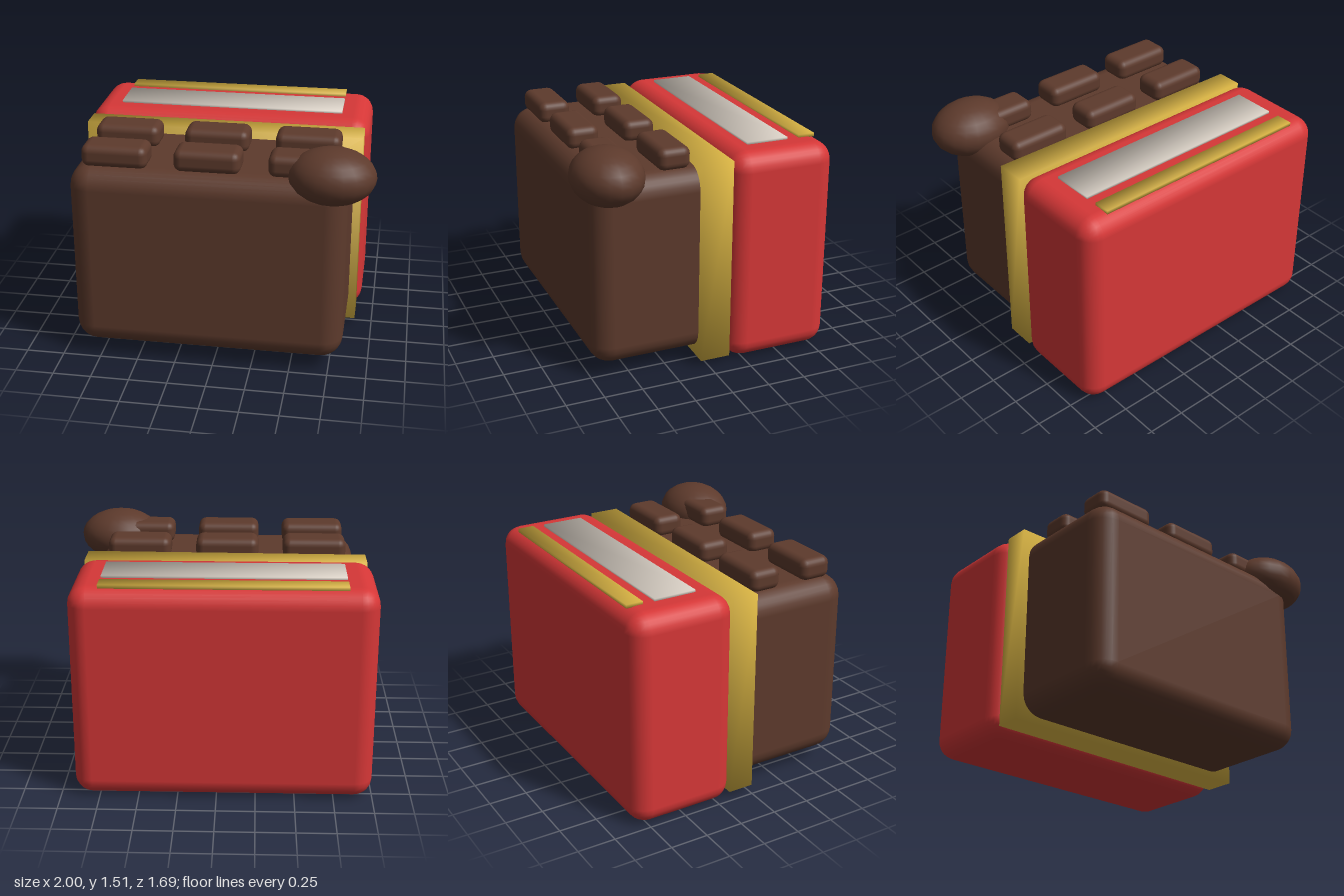
import * as THREE from 'three';
import { RoundedBoxGeometry } from 'three/addons/geometries/RoundedBoxGeometry.js';

const paint = (name, color) => {
  const m = new THREE.MeshStandardMaterial({ color });
  m.name = name;
  return m;
};

export function createModel() {
  const group = new THREE.Group();
  const red = paint('wrapper red', 0xd63737);
  const gold = paint('foil gold', 0xd8b343);
  const silver = paint('label silver', 0xdad1c6);
  const brown = paint('chocolate brown', 0x5d3a2c);

  const add = (name, geometry, material) => {
    const mesh = new THREE.Mesh(geometry, material);
    mesh.name = name;
    group.add(mesh);
    return mesh;
  };
  // Boxes are given by their limits on each axis
  const limits = ([x0, x1], [y0, y1], [z0, z1]) => ({
    size: [x1 - x0, y1 - y0, z1 - z0],
    mid: [(x0 + x1) / 2, (y0 + y1) / 2, (z0 + z1) / 2],
  });
  const rounded = (name, x, y, z, radius, material) => {
    const { size, mid } = limits(x, y, z);
    const mesh = add(name, new RoundedBoxGeometry(...size, 3, radius), material);
    mesh.position.set(...mid);
  };
  // Sharp box with soft shading: every corner normal points outward diagonally
  const softBox = (name, x, y, z, material) => {
    const { size, mid } = limits(x, y, z);
    const geo = new THREE.BoxGeometry(...size);
    const p = geo.attributes.position;
    for (let i = 0; i < p.count; i++) {
      const n = new THREE.Vector3().fromBufferAttribute(p, i);
      n.set(Math.sign(n.x), Math.sign(n.y), Math.sign(n.z)).normalize();
      geo.attributes.normal.setXYZ(i, n.x, n.y, n.z);
    }
    geo.translate(...mid);
    return add(name, geo, material);
  };

  // Wrapped half and bare half of the bar
  rounded('wrapper', [-1, 0.915], [0, 1.405], [-0.85, -0.145], 0.12, red);
  rounded('chocolateBar', [-0.92, 0.835], [0.085, 1.325], [-0.1, 0.75], 0.14, brown);

  // Foil collar, its front edge slightly skewed
  const foil = softBox('foilCollar', [-0.965, 0.885], [0.04, 1.375], [-0.15, 0.05], gold);
  const fp = foil.geometry.attributes.position;
  for (let i = 0; i < fp.count; i++) {
    if (fp.getX(i) < 0 && fp.getZ(i) > 0) fp.setZ(i, 0.02);
  }

  // Label and stripe on top of the wrapper
  softBox('label', [-0.805, 0.72], [1.4, 1.42], [-0.6, -0.32], silver);
  softBox('stripe', [-0.805, 0.72], [1.4, 1.424], [-0.79, -0.68], gold);

  // Two rows of chocolate squares
  for (const z of [0.07, 0.45]) {
    for (const x of [-0.84, -0.255, 0.335]) {
      rounded('chocolateSquare', [x, x + 0.42], [1.31, 1.455], [z, z + 0.215], 0.05, brown);
    }
  }

  // Melted blob on the front left corner
  const blob = add('meltedBlob', new THREE.SphereGeometry(1, 20, 14), brown);
  blob.scale.set(0.273, 0.177, 0.226);
  blob.position.set(0.727, 1.335, 0.615);

  return group;
}
